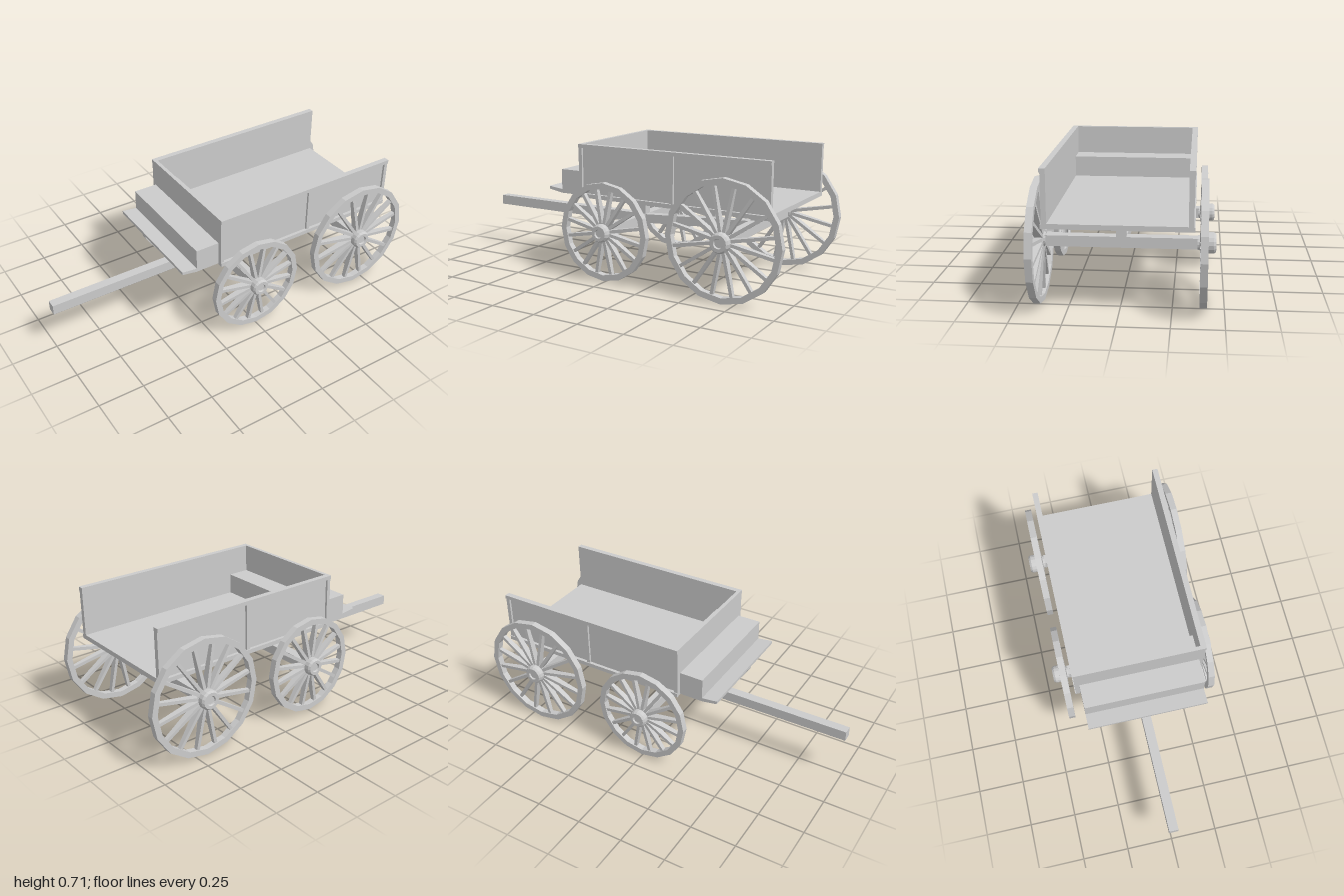
import * as THREE from 'three';

const mat = new THREE.MeshStandardMaterial({ color: 0xcccccc, flatShading: true, side: THREE.DoubleSide });

function add(parent, name, geometry) {
  const mesh = new THREE.Mesh(geometry, mat);
  mesh.name = name;
  parent.add(mesh);
  return mesh;
}

// Box given by its lower and upper bounds on each axis
function box(parent, name, x0, x1, y0, y1, z0, z1) {
  const mesh = add(parent, name, new THREE.BoxGeometry(x1 - x0, y1 - y0, z1 - z0));
  mesh.position.set((x0 + x1) / 2, (y0 + y1) / 2, (z0 + z1) / 2);
  return mesh;
}

// Beam whose side outline is extruded evenly about z = 0
function beam(parent, name, points, halfWidth) {
  const shape = new THREE.Shape(points.map(([x, y]) => new THREE.Vector2(x, y)));
  const geo = new THREE.ExtrudeGeometry(shape, { depth: halfWidth * 2, bevelEnabled: false });
  return add(parent, name, geo.translate(0, 0, -halfWidth));
}

function ringPoints(radius, sides) {
  return Array.from({ length: sides }, (_, i) => {
    const a = (i / sides) * Math.PI * 2;
    return new THREE.Vector2(Math.cos(a) * radius, Math.sin(a) * radius);
  });
}

// Spoked wheel around z, outer face towards +z
function makeWheel(radius) {
  const wheel = new THREE.Group();
  const sides = 16, inner = radius - 0.031, hubR = 0.031 + radius * 0.065;

  const rim = new THREE.Shape(ringPoints(radius, sides));
  rim.holes.push(new THREE.Path(ringPoints(inner, sides)));
  add(wheel, 'rim', new THREE.ExtrudeGeometry(rim, { depth: 0.035, bevelEnabled: false }).translate(0, 0, -0.0175));

  // Spokes are deeper at the hub than at the rim
  const start = 0.03, end = inner * 0.995;
  const spokeGeo = new THREE.BoxGeometry(0.017, end - start, 1).translate(0, (start + end) / 2, 0);
  const p = spokeGeo.attributes.position;
  for (let i = 0; i < p.count; i++) {
    p.setZ(i, p.getZ(i) * (p.getY(i) > radius / 2 ? 0.022 : 0.042));
  }
  for (let i = 0; i < sides; i++) {
    add(wheel, 'spoke', spokeGeo).rotation.z = ((i + 0.5) / sides) * Math.PI * 2;
  }

  // Turned hub with a recessed end
  const profile = [
    [0, -0.032], [0.7, -0.032], [0.7, -0.022], [1, -0.016], [1, 0.046],
    [0.84, 0.057], [0.5, 0.057], [0.42, 0.048], [0, 0.048],
  ].map(([r, h]) => new THREE.Vector2(r * hubR, h));
  add(wheel, 'hub', new THREE.LatheGeometry(profile, 16)).rotation.x = Math.PI / 2;
  return wheel;
}

export function createModel() {
  const wagon = new THREE.Group();
  wagon.name = 'wagon';

  // Wagon box, open at the rear
  const x0 = -0.19, x1 = 0.905, y0 = 0.43, y1 = 0.715, post = 0.02;
  const body = new THREE.Group();
  body.name = 'wagonBox';
  wagon.add(body);
  box(body, 'floor', x0, x1, y0, 0.455, -0.335, 0.335);
  box(body, 'frontPanel', x0, x0 + 0.02, y0, y1, -0.335, 0.335);
  for (const s of [1, -1]) {
    const slab = (name, a, b, c, d, out) =>
      box(body, name, a, b, c, d, Math.min(s * 0.325, s * out), Math.max(s * 0.325, s * out));
    slab('sidePanel', x0, x1, y0, y1, 0.338);
    slab('topRail', x0, x1, 0.695, y1, 0.355);
    slab('bottomRail', x0, x1, y0, 0.452, 0.355);
    for (const x of [x0, 0.36, x1 - post]) slab('sidePost', x, x + post, 0.452, 0.695, 0.35);
  }

  // Seat running through the front panel, and the footboard ahead of it
  box(wagon, 'seatBox', -0.32, -0.05, 0.435, 0.565, -0.325, 0.325);
  beam(wagon, 'footboard', [
    [-0.405, 0.449], [-0.32, 0.435], [x0, 0.435], [x0, 0.455], [-0.32, 0.455], [-0.405, 0.465],
  ], 0.325);

  // Running gear
  beam(wagon, 'drawPole', [[-1, 0.244], [0.025, 0.244], [0.025, 0.299], [-1, 0.299]], 0.025);
  beam(wagon, 'reach', [[0, 0.247], [0.685, 0.29], [0.685, 0.337], [0, 0.296]], 0.025);
  const axles = [
    { name: 'front', x: 0, y: 0.272, r: 0.262 },
    { name: 'rear', x: 0.685, y: 0.313, r: 0.312 },
  ];
  for (const { name, x, y, r } of axles) {
    box(wagon, name + 'Axle', x - 0.027, x + 0.027, y - 0.027, y + 0.027, -0.37, 0.37);
    box(wagon, name + 'Bolster', x - 0.025, x + 0.025, y, 0.435, -0.025, 0.025);
    for (const s of [1, -1]) {
      const wheel = makeWheel(r);
      wheel.name = name + (s > 0 ? 'LeftWheel' : 'RightWheel');
      wheel.position.set(x, y, s * 0.398);
      if (s < 0) wheel.rotation.y = Math.PI;
      wagon.add(wheel);
    }
  }
  return wagon;
}
